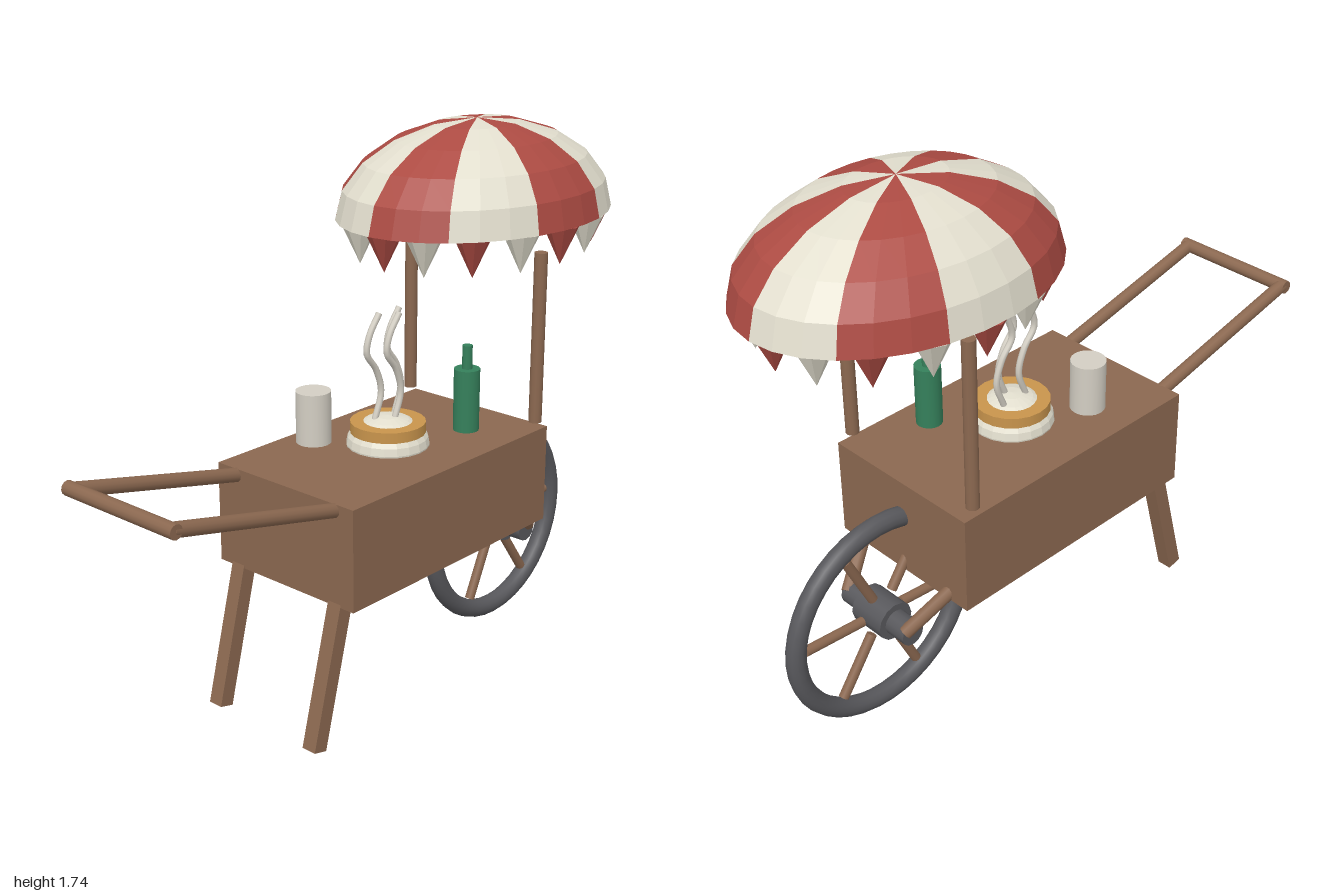
import * as THREE from 'three';

const mat = (name, color, opts = {}) => {
  const m = new THREE.MeshStandardMaterial({ color, ...opts });
  m.name = name;
  return m;
};

export function createModel() {
  const root = new THREE.Group();
  root.name = 'foodCart';
  const wood = mat('wood', 0x8b6850);
  const red = mat('red', 0xac4b43, { flatShading: true, side: THREE.DoubleSide });
  const cream = mat('cream', 0xe2dece, { flatShading: true, side: THREE.DoubleSide });
  const pale = mat('paleGrey', 0xd3cec3);
  const green = mat('bottleGreen', 0x35805b);
  const tan = mat('tan', 0xc8944c);
  const iron = mat('iron', 0x58585c);

  const group = (name) => {
    const g = new THREE.Group();
    g.name = name;
    root.add(g);
    return g;
  };
  const add = (parent, name, geo, m, x = 0, y = 0, z = 0) => {
    const mesh = new THREE.Mesh(geo, m);
    mesh.name = name;
    mesh.position.set(x, y, z);
    parent.add(mesh);
    return mesh;
  };
  // round rod between two points
  const rod = (parent, name, a, b, r, m = wood) => {
    const p = new THREE.Vector3(...a), q = new THREE.Vector3(...b);
    const d = q.clone().sub(p);
    const mesh = add(parent, name, new THREE.CylinderGeometry(r, r, d.length(), 12), m);
    mesh.position.copy(p).add(q).multiplyScalar(0.5);
    mesh.quaternion.setFromUnitVectors(new THREE.Vector3(0, 1, 0), d.normalize());
    return mesh;
  };

  // cart box
  add(root, 'cartBox', new THREE.BoxGeometry(0.915, 0.32, 0.55), wood, 0.078, 0.625, 0);

  // legs, handles, wheel struts and canopy poles in mirrored pairs
  const handle = group('handle');
  for (const s of [1, -1]) {
    const leg = add(root, 'leg', new THREE.BoxGeometry(0.05, 0.47, 0.05), wood, -0.411, 0.255, 0.2 * s);
    leg.rotation.z = -0.256;
    rod(handle, 'handleBar', [-0.36, 0.76, 0.2 * s], [-0.98, 0.903, 0.2 * s], 0.022);
    rod(root, 'wheelStrut', [0.51, 0.5, 0.2 * s], [0.65, 0.365, 0.13 * s], 0.022);
    rod(root, 'canopyPole', [0.49, 0.81, 0.26 * s], [0.49, 1.36, 0.26 * s], 0.021);
  }
  rod(handle, 'handleGrip', [-0.98, 0.903, -0.22], [-0.98, 0.903, 0.22], 0.022);

  // wheel
  const wheel = group('wheel');
  wheel.position.set(0.63, 0.354, 0);
  add(wheel, 'tyre', new THREE.TorusGeometry(0.322, 0.031, 12, 40), iron);
  rod(wheel, 'hub', [0, 0, -0.063], [0, 0, 0.063], 0.062, iron);
  rod(wheel, 'axle', [0, 0, -0.14], [0, 0, 0.14], 0.04, iron);
  for (let i = 0; i < 6; i++) {
    const a = THREE.MathUtils.degToRad(5 + i * 60), c = Math.cos(a), s = Math.sin(a);
    rod(wheel, 'spoke', [0.075 * c, 0.075 * s, 0], [0.288 * c, 0.288 * s, 0], 0.016);
  }

  // striped canopy, one stripe per mesh, two facets wide
  const canopy = group('canopy');
  canopy.position.set(0.49, 1.455, 0);
  const stripe = Math.PI / 5;
  for (let i = 0; i < 10; i++) {
    const geo = new THREE.SphereGeometry(1, 2, 5, Math.PI - (i + 1) * stripe, stripe, 0, Math.PI / 2);
    geo.scale(0.5, 0.287, 0.38);
    add(canopy, 'canopyStripe', geo, i % 2 ? cream : red);
  }

  // pointed fringe under the rim
  for (let i = 0; i < 16; i++) {
    const a = i * Math.PI / 8;
    const cone = add(canopy, 'fringePoint', new THREE.ConeGeometry(0.056, 0.12, 8), i % 2 ? cream : red,
      0.43 * Math.cos(a), -0.06, 0.33 * Math.sin(a));
    cone.rotation.x = Math.PI;
  }

  // steaming bun with its band
  const bun = add(root, 'bun', new THREE.SphereGeometry(1, 20, 12), cream, 0.08, 0.79, 0);
  bun.scale.set(0.13, 0.09, 0.13);
  add(root, 'bunFilling', new THREE.CylinderGeometry(0.118, 0.118, 0.034, 20), tan, 0.08, 0.845, 0);
  const wave = [[0, 0.87], [0.028, 0.955], [0.005, 1.03], [-0.037, 1.09], [-0.025, 1.145], [0.018, 1.205]];
  [0.042, 0.088, 0.134].forEach((x, i) => {
    const z = i === 1 ? 0.02 : -0.02;
    const path = new THREE.CatmullRomCurve3(wave.map(([dx, y]) => new THREE.Vector3(x + dx, y, z)));
    add(root, 'steam', new THREE.TubeGeometry(path, 28, 0.01, 8), pale);
  });

  // cup and bottle
  add(root, 'cup', new THREE.CylinderGeometry(0.055, 0.055, 0.165, 20), pale, -0.105, 0.892, -0.14);
  add(root, 'bottleBody', new THREE.CylinderGeometry(0.041, 0.041, 0.2, 16), green, 0.29, 0.91, 0.14);
  add(root, 'bottleNeck', new THREE.CylinderGeometry(0.016, 0.016, 0.08, 12), green, 0.29, 1.045, 0.14);

  return root;
}
